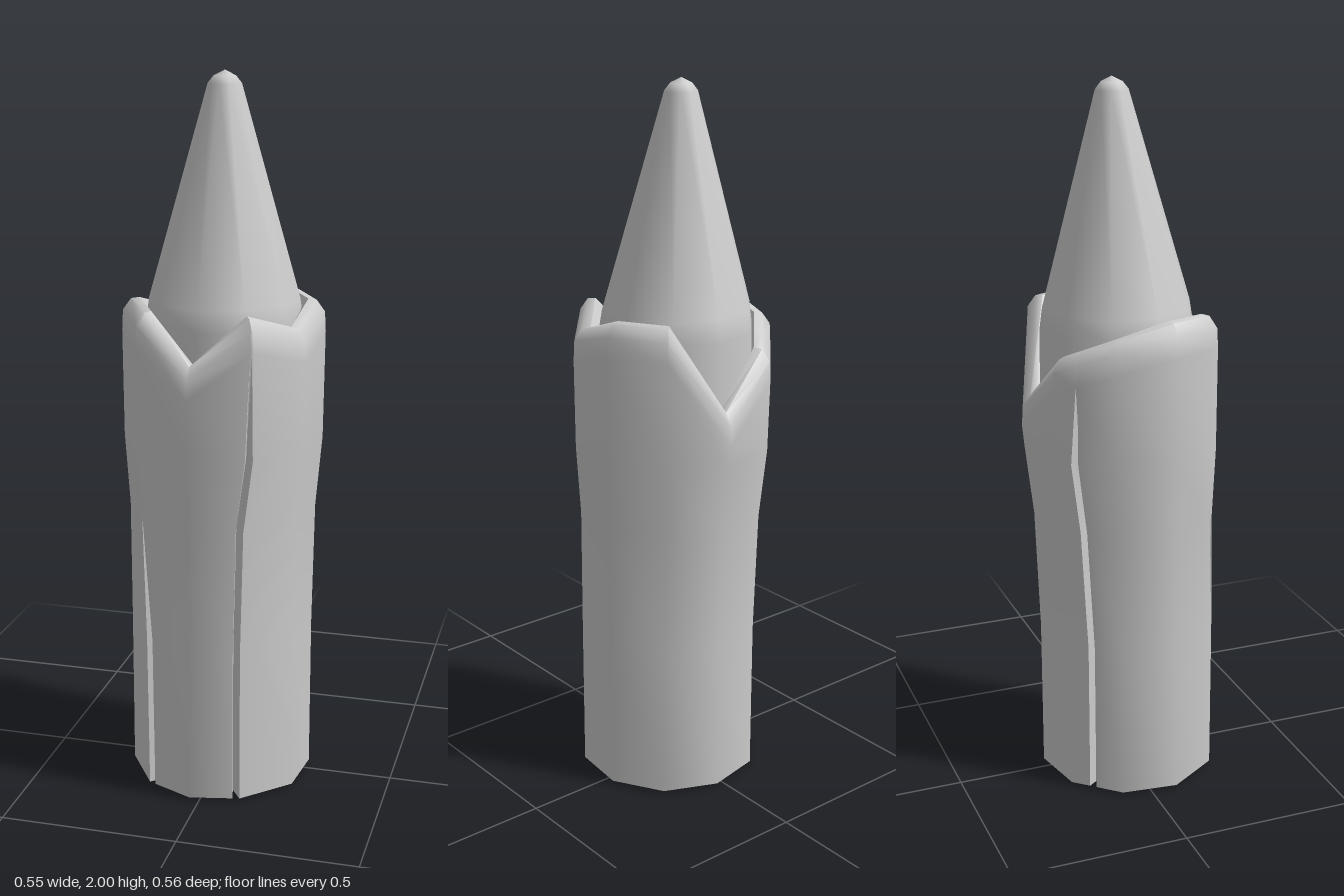
import * as THREE from 'three';
import { toCreasedNormals } from 'three/addons/utils/BufferGeometryUtils.js';

const RAD = Math.PI / 180;
const SIDES = 10, STEP = 36, START = 24;
// rim height at each corner, from 24 degrees (x towards z) onwards
const RIM = [1.34, 1.385, 1.255, 1.38, 1.39, 1.35, 1.29, 1.15, 1.39, 1.39];

// wall rows: height, radius, z offset; then rim rows: drop below rim height, radius
const WALL = [[0.01, 0.258, 0.02], [0.45, 0.258, 0.018], [0.8, 0.262, 0.008], [1.0, 0.278, 0]];
const LIP = [[0.09, 0.281], [0.035, 0.278], [0.003, 0.255], [0, 0.232], [0.05, 0.2]];

// splits in the bark: angle and depth on each wall row
const SPLITS = [
  { at: 60, angles: [66, 66, 65, 61], depths: [0.05, 0.05, 0.045, 0.03] },
  { at: 132, angles: [127, 128, 133, 132], depths: [0.05, 0.045, 0, 0] },
  { at: 226, angles: [225, 225, 227, 229], depths: [0.06, 0.055, 0.05, 0.03] },
];

// radius of the ten-sided outline at any angle, relative to its corners
function outline(angle) {
  const off = (((angle - START) % STEP) + STEP) % STEP - STEP / 2;
  return Math.cos(STEP / 2 * RAD) / Math.cos(off * RAD);
}

function rimHeight(angle) {
  const t = (angle - START) / STEP, i = Math.floor(t);
  return THREE.MathUtils.lerp(RIM[i % SIDES], RIM[(i + 1) % SIDES], t - i);
}

// columns around the trunk: plain corners plus three columns per split
function barkColumns() {
  const columns = [];
  for (let i = 0; i < SIDES; i++) {
    const at = START + i * STEP;
    if (!SPLITS.some((s) => s.at === at)) columns.push({ at, side: 0 });
  }
  for (const split of SPLITS)
    for (const side of [-1, 0, 1]) columns.push({ at: split.at + side, side, split });
  return columns.sort((a, b) => a.at - b.at);
}

function barkGeometry() {
  const columns = barkColumns(), n = columns.length;
  const points = [], index = [];
  const add = (angle, radius, y, dz) => {
    points.push(radius * Math.cos(angle * RAD), y, radius * Math.sin(angle * RAD) + dz);
  };
  WALL.forEach(([y, r, dz], row) => {
    for (const { at, side, split } of columns) {
      let angle = at, depth = 0;
      if (split) {
        depth = split.depths[row];
        angle = split.angles[row] + side * (depth > 0 ? 2.2 : 1);
      }
      add(angle, r * outline(angle) - (side === 0 ? depth : 0), y, dz);
    }
  });
  for (const [drop, r] of LIP)
    for (const { at } of columns) add(at, r * outline(at), rimHeight(at) - drop, -0.003);

  const rows = WALL.length + LIP.length;
  for (let r = 0; r < rows - 1; r++)
    for (let c = 0; c < n; c++) {
      const a = r * n + c, b = r * n + (c + 1) % n;
      index.push(a, a + n, b + n, a, b + n, b);
    }
  // cut face underneath
  const centre = points.length / 3;
  points.push(0, 0, 0.02);
  for (let c = 0; c < n; c++) index.push(centre, c, (c + 1) % n);

  const geometry = new THREE.BufferGeometry();
  geometry.setAttribute('position', new THREE.Float32BufferAttribute(points, 3));
  geometry.setIndex(index);
  return toCreasedNormals(geometry, 55 * RAD);
}

// sharpened heartwood, leaning slightly back
function pointGeometry() {
  const profile = [
    [0.22, 1.0], [0.217, 1.33], [0.208, 1.39], [0.046, 1.965], [0.03, 1.985], [0, 2],
  ].map(([r, y]) => new THREE.Vector2(r, y));
  const geometry = new THREE.LatheGeometry(profile, SIDES, 66 * RAD);
  const p = geometry.attributes.position;
  for (let i = 0; i < p.count; i++) {
    const lean = Math.max(0, p.getY(i) - 1.3) / 0.7;
    p.setX(i, p.getX(i) - 0.004 * lean);
    p.setZ(i, p.getZ(i) - 0.013 - 0.017 * lean);
  }
  return geometry;
}

export function createModel() {
  const model = new THREE.Group();
  model.name = 'sharpenedStake';
  const material = new THREE.MeshStandardMaterial({ color: 0xcccccc });
  const part = (name, geometry) => {
    const mesh = new THREE.Mesh(geometry, material);
    mesh.name = name;
    model.add(mesh);
  };
  part('bark', barkGeometry());
  part('sharpenedPoint', pointGeometry());
  return model;
}
